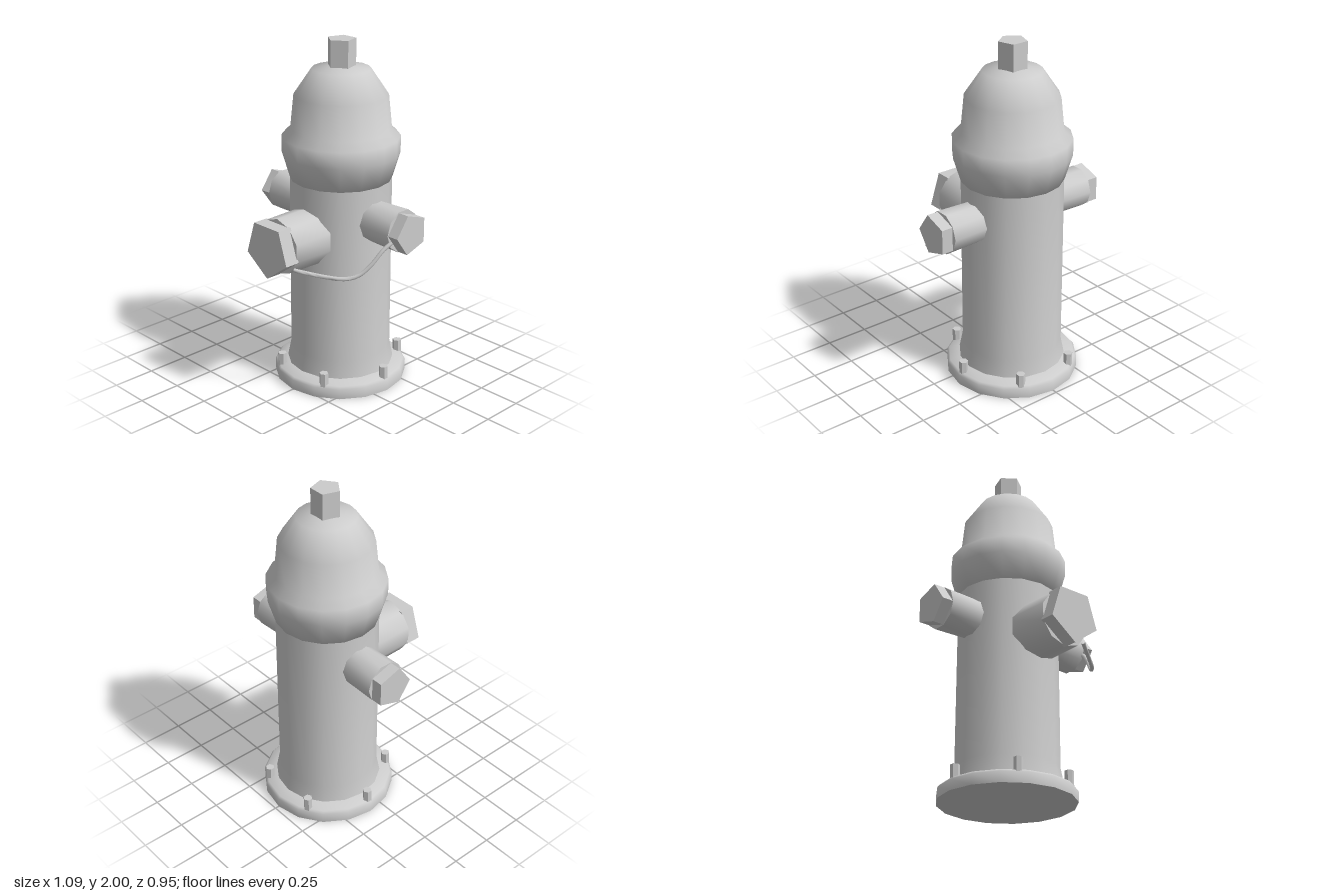
import * as THREE from 'three';
import { toCreasedNormals } from 'three/addons/utils/BufferGeometryUtils.js';

const CREASE = 0.95;

export function createModel() {
  const model = new THREE.Group();
  model.name = 'fireHydrant';
  const castGrey = new THREE.MeshStandardMaterial({ color: 0xcccccc });
  castGrey.name = 'castGrey';

  const add = (name, geometry, parent = model) => {
    const mesh = new THREE.Mesh(toCreasedNormals(geometry, CREASE), castGrey);
    mesh.name = name;
    parent.add(mesh);
    return mesh;
  };
  const lathe = (profile) =>
    new THREE.LatheGeometry(profile.map(([r, y]) => new THREE.Vector2(r, y)), 16);

  // Everything except the hose is arranged around the barrel axis
  const hydrant = new THREE.Group();
  hydrant.name = 'hydrant';
  hydrant.position.z = -0.09;
  model.add(hydrant);

  // Flanged base and barrel
  add('barrel', lathe([
    [0, 0], [0.385, 0], [0.385, 0.06], [0.372, 0.074], [0.31, 0.09],
    [0.29, 0.19], [0.288, 1.23],
  ]), hydrant);

  // Bonnet with a bulging collar and domed top
  add('bonnet', lathe([
    [0.28, 1.21], [0.29, 1.215], [0.333, 1.36], [0.333, 1.455],
    [0.283, 1.497], [0.263, 1.69], [0.165, 1.835], [0, 1.86],
  ]), hydrant);

  // Five-sided operating nut
  const nut = add('operatingNut', new THREE.CylinderGeometry(0.082, 0.082, 0.16, 5), hydrant);
  nut.position.y = 1.92;

  // Six flange bolts
  for (let i = 0; i < 6; i++) {
    const a = (i * Math.PI) / 3;
    const bolt = add('flangeBolt', new THREE.CylinderGeometry(0.026, 0.026, 0.085, 6), hydrant);
    bolt.position.set(0.352 * Math.cos(a), 0.1025, 0.352 * Math.sin(a));
  }

  // Outlet: tapered ten-sided pipe with a five-sided cap, built along +y then turned
  function outlet(name, y, start, pipeEnd, capStart, capEnd, rStart, rEnd, rCap) {
    const group = new THREE.Group();
    group.name = name;
    group.position.y = y;
    const pipe = new THREE.CylinderGeometry(rEnd, rStart, pipeEnd - start, 10);
    add('outletPipe', pipe.translate(0, (start + pipeEnd) / 2, 0), group);
    const cap = new THREE.CylinderGeometry(rCap, rCap, capEnd - capStart, 5);
    add('outletCap', cap.translate(0, (capStart + capEnd) / 2, 0), group);
    hydrant.add(group);
    return group;
  }
  outlet('leftOutlet', 1.016, 0.15, 0.48, 0.465, 0.547, 0.112, 0.122, 0.118)
    .rotation.z = -Math.PI / 2;
  outlet('rightOutlet', 1.016, 0.15, 0.48, 0.465, 0.547, 0.112, 0.12, 0.118)
    .rotation.z = Math.PI / 2;
  outlet('frontOutlet', 0.921, 0.15, 0.485, 0.475, 0.565, 0.168, 0.161, 0.167)
    .rotation.x = Math.PI / 2;

  // Retaining cord hanging between the front and left caps
  const path = new THREE.CatmullRomCurve3([
    [0.13, 0.82, 0.395], [0.2, 0.806, 0.345], [0.275, 0.793, 0.29], [0.35, 0.787, 0.23],
    [0.4, 0.805, 0.17], [0.44, 0.865, 0.11], [0.468, 0.94, 0.05], [0.487, 0.975, 0.005],
  ].map((p) => new THREE.Vector3(...p)));
  add('retainingCord', new THREE.TubeGeometry(path, 20, 0.012, 8));

  return model;
}
